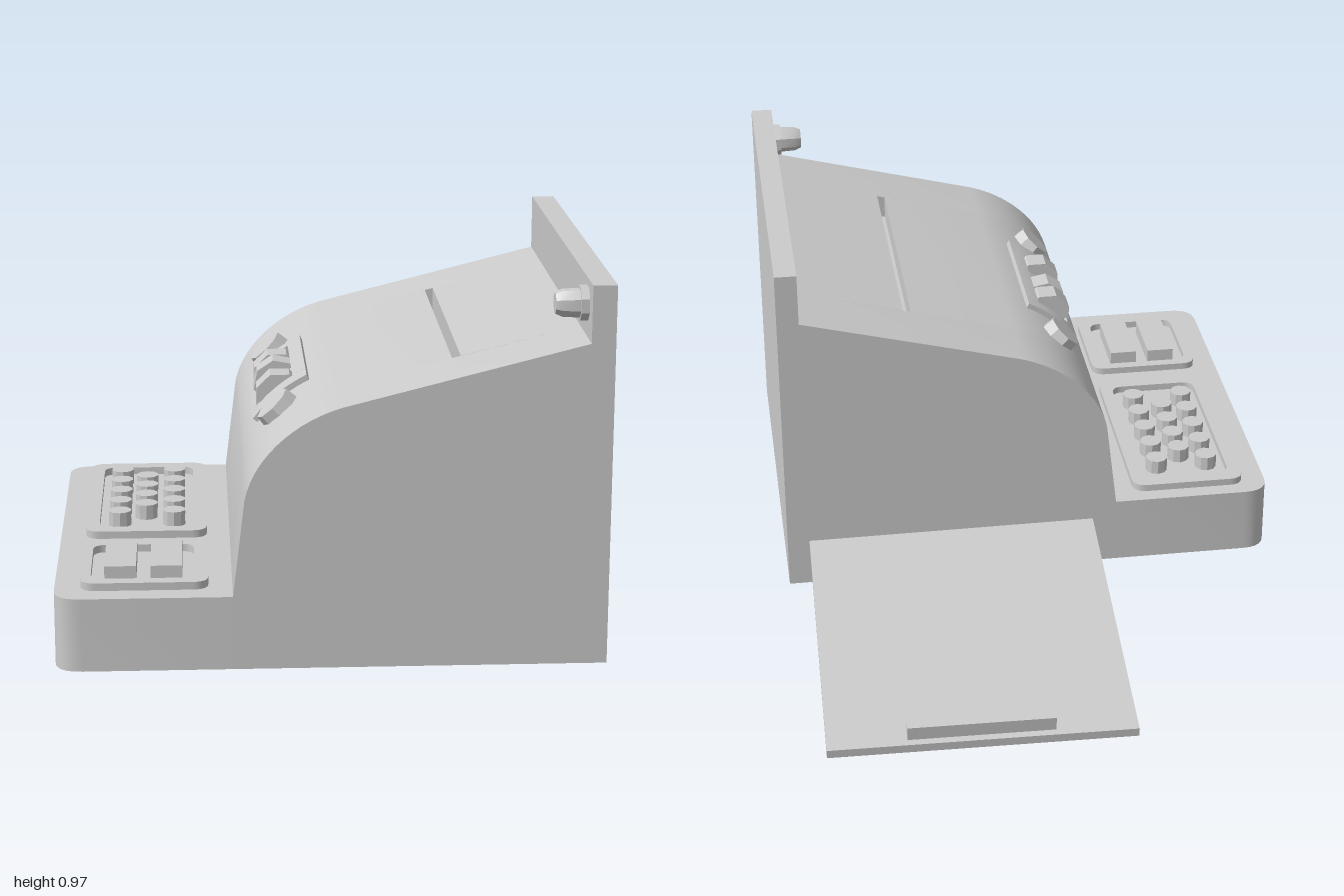
import * as THREE from 'three';
import { toCreasedNormals } from 'three/addons/utils/BufferGeometryUtils.js';

const material = new THREE.MeshStandardMaterial({ color: 0xcccccc });
const V = (x, y) => new THREE.Vector2(x, y);

// Curved shoulder of the housing, in the x-y plane
const shoulder = new THREE.CubicBezierCurve(
  V(-0.215, 0.44), V(-0.195, 0.54), V(-0.10, 0.635), V(0.025, 0.672));

export function createModel() {
  const model = new THREE.Group();

  function add(name, geometry, parent = model) {
    const mesh = new THREE.Mesh(toCreasedNormals(geometry, 0.5), material);
    mesh.name = name;
    parent.add(mesh);
    return mesh;
  }

  // Extrude an x-y outline from z0 to z1
  function extrudeZ(name, points, z0, z1) {
    const g = new THREE.ExtrudeGeometry(new THREE.Shape(points), { depth: z1 - z0, bevelEnabled: false });
    return add(name, g.translate(0, 0, z0));
  }

  // Rounded rectangle; the left and right corner radii may differ
  function roundedRect(path, x0, x1, z0, z1, rl, rr = rl) {
    const a = -z1, b = -z0;
    path.moveTo(x0 + rl, a).lineTo(x1 - rr, a);
    if (rr) path.quadraticCurveTo(x1, a, x1, a + rr);
    path.lineTo(x1, b - rr);
    if (rr) path.quadraticCurveTo(x1, b, x1 - rr, b);
    path.lineTo(x0 + rl, b);
    path.quadraticCurveTo(x0, b, x0, b - rl).lineTo(x0, a + rl);
    path.quadraticCurveTo(x0, a, x0 + rl, a);
    return path;
  }

  // Flat slab lying in the x-z plane
  function slab(name, shape, y0, y1) {
    const g = new THREE.ExtrudeGeometry(shape, { depth: y1 - y0, bevelEnabled: false, curveSegments: 6 });
    return add(name, g.rotateX(-Math.PI / 2).translate(0, y0, 0));
  }

  // Housing in three lengths, the middle one notched for the card slot
  const profile = (notch) => [
    V(0.69, 0), V(0.69, 0.97), V(0.63, 0.97), V(0.63, 0.825), ...notch,
    ...shoulder.getPoints(14).reverse(), V(-0.245, 0.19), V(-0.245, 0)];
  const slot = [V(0.332, 0.75), V(0.332, 0.68), V(0.31, 0.68), V(0.31, 0.744)];
  extrudeZ('housingBack', profile([]), -0.135, 0.05);
  extrudeZ('housingSlotted', profile(slot), 0.05, 0.81);
  extrudeZ('housingFront', profile([]), 0.81, 1);

  // Low keyboard base
  slab('keyboardBase', roundedRect(new THREE.Shape(), -0.69, -0.245, -0.135, 1, 0.07, 0), 0, 0.19);

  // Raised frames around the keys
  function frame(name, outer, inner) {
    const shape = roundedRect(new THREE.Shape(), ...outer, 0.04);
    shape.holes.push(roundedRect(new THREE.Path(), ...inner, 0.035));
    slab(name, shape, 0.18, 0.21);
  }
  frame('keypadFrame', [-0.625, -0.305, -0.09, 0.53], [-0.59, -0.34, -0.05, 0.49]);
  frame('barKeyFrame', [-0.625, -0.305, 0.61, 0.94], [-0.60, -0.34, 0.64, 0.905]);

  // Round keys in three staggered columns
  const columns = [[-0.537, 0.03, 5, 0.094], [-0.467, 0.085, 4, 0.086], [-0.392, 0.03, 5, 0.094]];
  for (const [x, z, count, step] of columns) {
    for (let i = 0; i < count; i++) {
      add('roundKey', new THREE.CylinderGeometry(0.031, 0.031, 0.05, 10))
        .position.set(x, 0.205, z + i * step);
    }
  }

  // Two long bar keys
  for (const x of [-0.526, -0.41]) {
    add('barKey', new THREE.BoxGeometry(0.08, 0.05, 0.2)).position.set(x, 0.205, 0.77);
  }

  // Curved display bezel that follows the shoulder
  function bezelStrip(t0, t1, z0, z1) {
    const outer = [], inner = [];
    for (let i = 0; i <= 6; i++) {
      const t = t0 + (t1 - t0) * i / 6;
      const p = shoulder.getPoint(t), d = shoulder.getTangent(t), n = V(-d.y, d.x);
      outer.push(p.clone().addScaledVector(n, 0.015));
      inner.unshift(p.clone().addScaledVector(n, -0.02));
    }
    extrudeZ('displayBezel', [...outer, ...inner], z0, z1);
  }
  bezelStrip(0.33, 0.82, 0.215, 0.255);
  bezelStrip(0.33, 0.82, 0.57, 0.635);
  bezelStrip(0.33, 0.42, 0.255, 0.57);
  bezelStrip(0.72, 0.82, 0.255, 0.57);

  // Number wheels
  for (const [z, turn] of [[0.32, 0.39], [0.396, 0.2], [0.53, 0.39]]) {
    const wheel = add('numberWheel', new THREE.CylinderGeometry(0.066, 0.066, 0.065, 8).rotateX(Math.PI / 2));
    wheel.position.set(-0.112, 0.58, z);
    wheel.rotation.z = turn;
  }

  // Octagonal buttons either side of the display
  for (const z of [0.13, 0.725]) {
    const button = add('displayButton', new THREE.CylinderGeometry(0.052, 0.058, 0.05, 8));
    button.position.set(-0.121, 0.593, z);
    button.rotation.z = Math.PI / 4;
  }

  // Knob on the upright back wall
  const knob = new THREE.Group();
  knob.name = 'wallKnob';
  knob.position.set(0.63, 0.908, 0.915);
  knob.rotation.z = Math.PI / 2;
  model.add(knob);
  const knobProfile = [V(0, -0.01), V(0.045, -0.01), V(0.045, 0.02), V(0.037, 0.02),
    V(0.035, 0.062), V(0.027, 0.08), V(0, 0.08)];
  add('knobBody', new THREE.LatheGeometry(knobProfile, 8, Math.PI / 8), knob);

  // Sloping paper tray with a stop bar at its far end
  const tray = new THREE.Group();
  tray.name = 'paperTray';
  tray.position.set(0.225, 0.14, -0.13);
  tray.rotation.set(-0.115, -0.025, 0, 'YXZ');
  model.add(tray);
  add('trayPlate', new THREE.BoxGeometry(0.807, 0.025, 0.91), tray).position.set(0, -0.0125, -0.412);
  add('trayStop', new THREE.BoxGeometry(0.385, 0.045, 0.026), tray).position.set(0.003, 0.0175, -0.835);

  return model;
}
